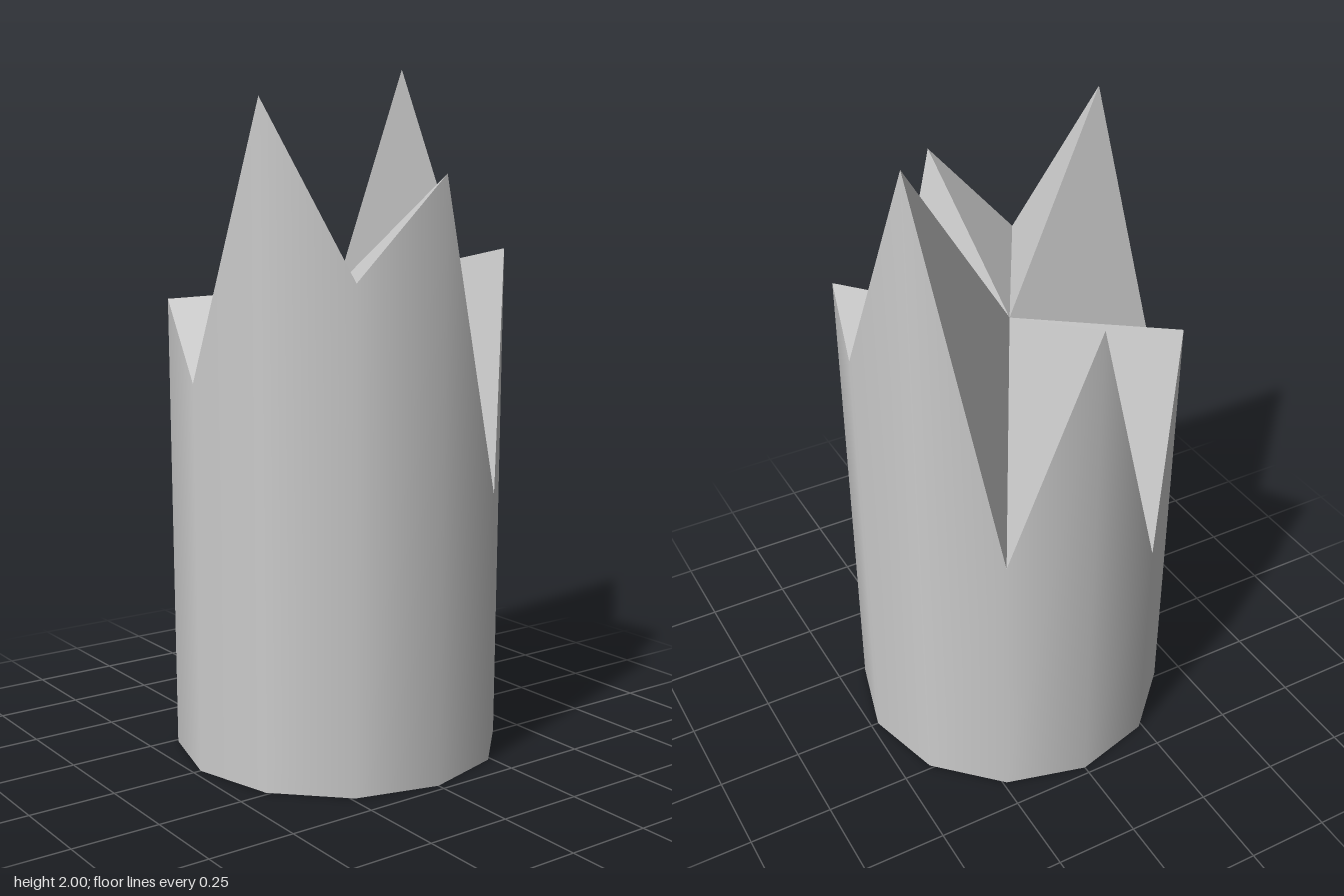
import * as THREE from 'three';

const SIDES = 12;
const CORE_HEIGHT = 1.355;
// Splinter heights around the rim, starting at the front and turning towards +x
const RIM = [1.105, 1.865, 1.39, 1.67, 0.78, 1.46, 1.36, 2.0, 0.85, 1.57, 0.71, 1.32];

// The trunk widens very slightly with height
const radiusAt = (y) => 0.477 + 0.0073 * y;

function rimPoint(k) {
  const y = RIM[k % SIDES];
  const angle = ((k % SIDES) / SIDES) * Math.PI * 2;
  return new THREE.Vector3(Math.sin(angle) * radiusAt(y), y, Math.cos(angle) * radiusAt(y));
}

export function createModel() {
  const model = new THREE.Group();
  model.name = 'brokenStump';

  // Trunk: open smooth tube whose upper ring follows the jagged break
  const wall = new THREE.CylinderGeometry(0.477, 0.477, 1, SIDES, 1, true);
  wall.translate(0, 0.5, 0);
  for (let k = 0; k <= SIDES; k++) {
    const p = rimPoint(k);
    wall.attributes.position.setXYZ(k, p.x, p.y, p.z);
  }
  const trunk = new THREE.Mesh(
    wall,
    new THREE.MeshStandardMaterial({ color: 0xcccccc, side: THREE.DoubleSide })
  );
  trunk.name = 'trunk';

  // Break: flat facets fanning from the core to the splinters
  const core = new THREE.Vector3(0, CORE_HEIGHT, 0);
  const corners = [];
  for (let k = 0; k < SIDES; k++) corners.push(core, rimPoint(k), rimPoint(k + 1));
  const fan = new THREE.BufferGeometry().setFromPoints(corners);
  fan.computeVertexNormals();
  const breakSurface = new THREE.Mesh(
    fan,
    new THREE.MeshStandardMaterial({ color: 0xcccccc, side: THREE.DoubleSide, flatShading: true })
  );
  breakSurface.name = 'splinteredTop';

  model.add(trunk, breakSurface);
  return model;
}
